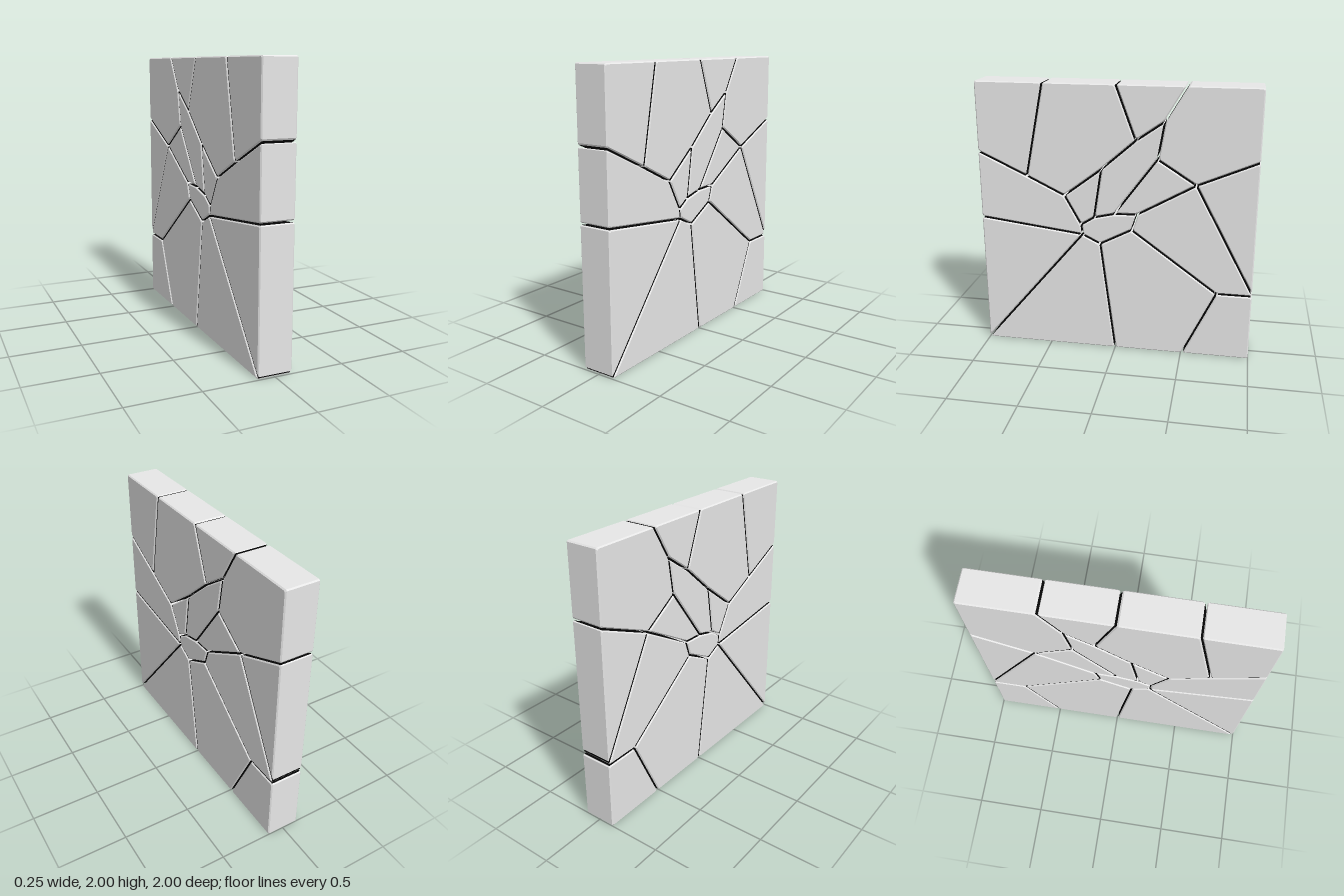
import * as THREE from 'three';

const HALF = 0.123;   // half the panel thickness
const GAP = 0.007;    // inset of each shard from the crack line
const BEVEL = 0.008;  // chamfer on all edges

// Crack junctions as [z, y]
const nodes = {
  topFront: [1, 2], topBack: [-1, 2], lowFront: [1, 0], lowBack: [-1, 0],
  A: [0.51, 2], B: [0, 2], C: [-0.495, 2], D: [1, 1.5], E: [1, 1],
  F: [0, 0], G: [-0.505, 0], H: [-1, 0.505], I: [-1, 1.5],
  J: [0.645, 1.33], K: [0.37, 1.195], L: [0.1, 1.4], M: [-0.145, 1.615],
  N: [-0.345, 1.755], O: [-0.3, 1.49], P: [-0.575, 1.315], Q: [-0.16, 1.08],
  R: [0.005, 1.075], S: [0.155, 1.04], T: [0.25, 0.98], U: [0.24, 0.905],
  V: [0.11, 0.84], W: [-0.12, 0.96], X: [-0.745, 0.505],
};

// Each shard lists its corners clockwise, seen from +x
const shards = {
  topFrontShard: 'topFront A J D',
  topLargeShard: 'A B M L K J',
  topWedgeShard: 'B C N M',
  topBackShard: 'C topBack I P O N',
  backTriangleShard: 'P I H',
  backShard: 'P H X W Q',
  lowBackShard: 'X H lowBack G',
  lowMiddleShard: 'G F V W X',
  lowFrontShard: 'F lowFront U V',
  frontTriangleShard: 'lowFront E U',
  frontShard: 'E D J K T U',
  smallShard: 'K L S T',
  longShard: 'L M N O R S',
  innerBackShard: 'O P Q R',
  centreShard: 'T S R Q W V U',
};

// Flat coordinates (u = -z, v = y - 1); the rim is pushed out so the inset lands on it
function corner(name) {
  const [z, y] = nodes[name];
  const push = (v) => (Math.abs(v) === 1 ? v * (1 + GAP) : v);
  return new THREE.Vector2(-push(z), push(y - 1));
}

// True when the edge lies on the outer rim of the panel
function onRim(a, b) {
  return (a.x === b.x && Math.abs(a.x) > 1) || (a.y === b.y && Math.abs(a.y) > 1);
}

// Move every edge of a counter-clockwise polygon inward by d, then cut its corners
function inset(points, d) {
  const n = points.length;
  const moved = points.map((p, i) => {
    const a = p.clone().sub(points[(i + n - 1) % n]).normalize();
    const b = points[(i + 1) % n].clone().sub(p).normalize();
    const k = d / (1 + a.dot(b));
    return new THREE.Vector2(p.x - (a.y + b.y) * k, p.y + (a.x + b.x) * k);
  });
  const toward = (p, q) => p.clone().add(q.clone().sub(p).setLength(BEVEL));
  return moved.flatMap((p, i) => [
    toward(p, moved[(i + n - 1) % n]), toward(p, moved[(i + 1) % n]),
  ]);
}

// Prism through four outlines: chamfer, wall, chamfer, closed by two caps
function shardGeometry(outline) {
  const n = outline.length * 2;
  const sections = [
    [-HALF, GAP + BEVEL], [-HALF + BEVEL, GAP],
    [HALF - BEVEL, GAP], [HALF, GAP + BEVEL],
  ];
  const positions = [];
  const outer = [];
  const inner = [];
  for (const [x, d] of sections) {
    for (const p of inset(outline, d)) positions.push(x, p.y + 1, -p.x);
  }
  for (let s = 0; s < 3; s++) {
    for (let i = 0; i < n; i++) {
      const a = s * n + i;
      const b = s * n + (i + 1) % n;
      // Odd sides run along the cracks or rim, even sides are cut corners
      const k = (i - 1) / 2;
      const crack = s === 1 && i % 2 === 1 &&
        !onRim(outline[k], outline[(k + 1) % outline.length]);
      (crack ? inner : outer).push(a, b, b + n, a, b + n, a + n);
    }
  }
  const cap = inset(outline, GAP + BEVEL);
  for (const [a, b, c] of THREE.ShapeUtils.triangulateShape(cap, [])) {
    outer.push(3 * n + a, 3 * n + b, 3 * n + c, c, b, a);
  }
  const indexed = new THREE.BufferGeometry();
  indexed.setAttribute('position', new THREE.Float32BufferAttribute(positions, 3));
  indexed.setIndex([...outer, ...inner]);
  indexed.addGroup(0, outer.length, 0);
  indexed.addGroup(outer.length, inner.length, 1);
  const flat = indexed.toNonIndexed();
  flat.computeVertexNormals();
  return flat;
}

function flatColour(name, color) {
  const material = new THREE.MeshStandardMaterial({ color });
  material.name = name;
  return material;
}

export function createModel() {
  const panel = new THREE.Group();
  panel.name = 'fracturedPanel';
  const materials = [
    flatColour('light grey', 0xe7e7e7),
    flatColour('crack black', 0x050505),
  ];

  for (const [name, corners] of Object.entries(shards)) {
    const outline = corners.split(' ').map(corner).reverse();
    const mesh = new THREE.Mesh(shardGeometry(outline), materials);
    mesh.name = name;
    panel.add(mesh);
  }
  return panel;
}
